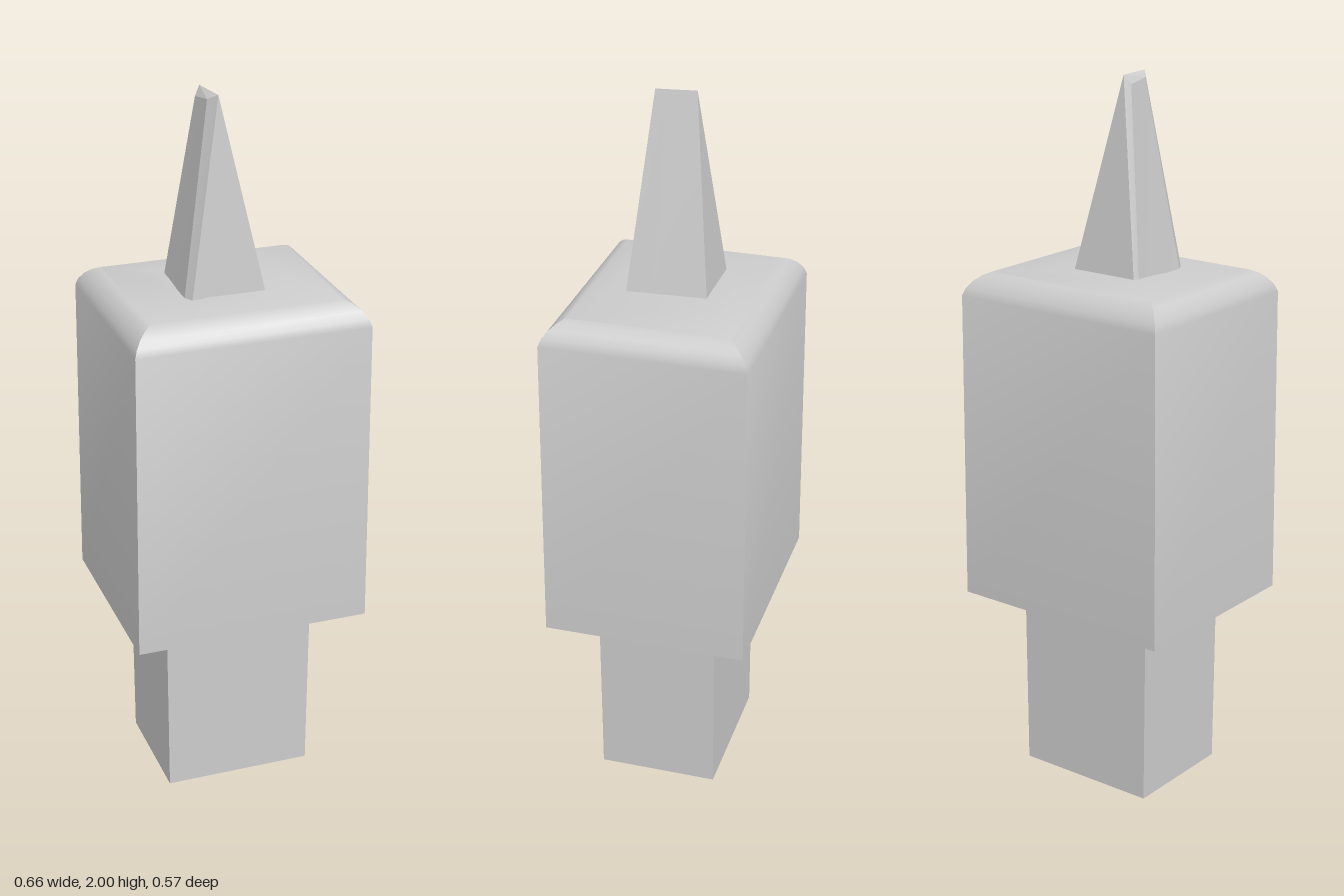
import * as THREE from 'three';
import { toCreasedNormals } from 'three/addons/utils/BufferGeometryUtils.js';

const material = new THREE.MeshStandardMaterial({ color: 0xcccccc });

// Skin between rings of [x, y, z] corners (counter-clockwise from above), listed bottom to top, with end caps.
function loft(name, rings, crease) {
  const positions = [];
  const same = (p, q) => p.every((v, i) => v === q[i]);
  const tri = (a, b, c) => {
    if (!same(a, b) && !same(b, c) && !same(c, a)) positions.push(...a, ...b, ...c);
  };
  const n = rings[0].length;
  for (let r = 0; r < rings.length - 1; r++) {
    const lo = rings[r], hi = rings[r + 1];
    for (let i = 0; i < n; i++) {
      const j = (i + 1) % n;
      tri(lo[i], lo[j], hi[j]);
      tri(lo[i], hi[j], hi[i]);
    }
  }
  const bottom = rings[0], top = rings[rings.length - 1];
  for (let i = 1; i < n - 1; i++) {
    tri(bottom[0], bottom[i + 1], bottom[i]);
    tri(top[0], top[i], top[i + 1]);
  }
  const geometry = new THREE.BufferGeometry();
  geometry.setAttribute('position', new THREE.Float32BufferAttribute(positions, 3));
  const mesh = new THREE.Mesh(toCreasedNormals(geometry, crease), material);
  mesh.name = name;
  return mesh;
}

// Rectangular ring at height y
const rect = (y, x0, x1, z0, z1) => [[x1, y, z0], [x0, y, z0], [x0, y, z1], [x1, y, z1]];

export function createModel() {
  const group = new THREE.Group();
  group.name = 'model';

  // Narrow square base
  group.add(loft('base', [
    rect(0, -0.212, 0.208, -0.17, 0.165),
    rect(0.54, -0.216, 0.212, -0.17, 0.168),
  ], 0.5));

  // Block with a rounded shoulder: [height, half width, half depth]
  const profile = [
    [0.53, 0.332, 0.284], [1.4, 0.326, 0.281], [1.42, 0.319, 0.273],
    [1.44, 0.305, 0.258], [1.455, 0.287, 0.24], [1.464, 0.268, 0.222],
  ];
  const bodyRings = profile.map(([y, w, d]) => rect(y, -w, w, -d, d));
  bodyRings.push([[0.12, 1.477, -0.12], [-0.15, 1.477, -0.12], [-0.06, 1.474, 0.17], [0.08, 1.474, 0.17]]);
  group.add(loft('body', bodyRings, 0.6));

  // Leaning wedge-shaped spike, chamfered on one side
  const y = 1.46;
  const back = [-0.042, 2, -0.042], front = [-0.028, 2, 0.067];
  const spike = loft('spike', [
    [[0.08, y, -0.105], [-0.125, y, -0.105], [-0.131, y, -0.09], [-0.132, y, 0.092],
      [-0.119, y, 0.117], [0.089, y, 0.117], [0.086, y, 0.045]],
    [back, back, [-0.058, 1.975, -0.03], [-0.05, 1.985, 0.042], front, front, [-0.032, 2, 0.035]],
  ], 0.3);
  group.add(spike);

  return group;
}
